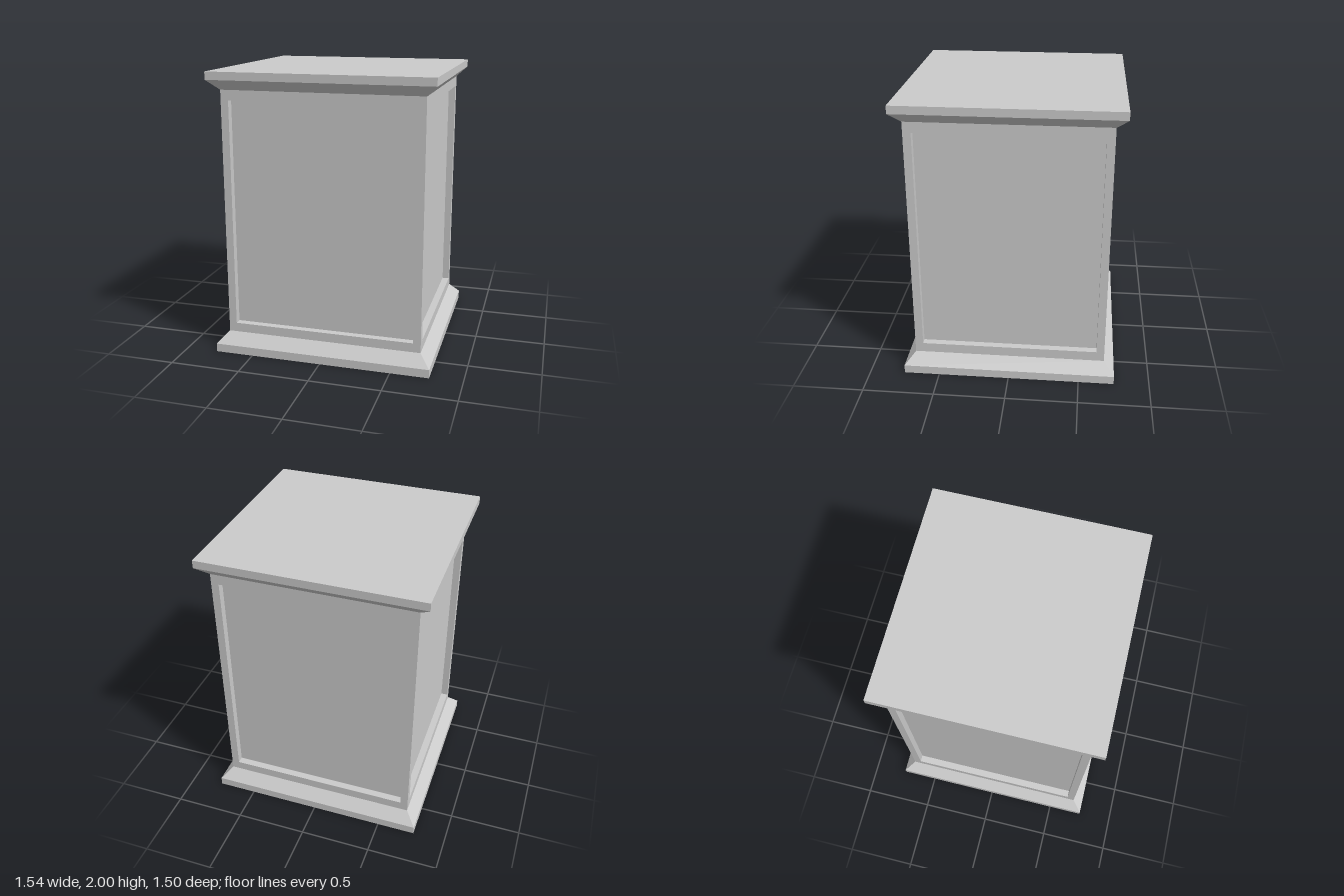
import * as THREE from 'three';

const material = new THREE.MeshStandardMaterial({ color: 0xcccccc, flatShading: true });

// Body half sizes, its bottom and top, and the depth of the recessed panels
const HX = 0.697, HZ = 0.677, Y0 = 0.14, Y1 = 1.875, DEPTH = 0.05;
const FLARE = 0.074; // overhang of plinth and cap

function addMesh(group, name, geometry) {
  const mesh = new THREE.Mesh(geometry, material);
  mesh.name = name;
  group.add(mesh);
  return mesh;
}

// Solid lofted upward through rectangles given as [y, overhang]
function moulding(sections) {
  const ring = ([y, o]) => [[1, 1], [1, -1], [-1, -1], [-1, 1]]
    .map(([sx, sz]) => [sx * (HX + o), y, sz * (HZ + o)]);
  const rings = sections.map(ring);
  const pos = [];
  const quad = (a, b, c, d) => pos.push(...a, ...b, ...c, ...a, ...c, ...d);
  for (let i = 0; i < rings.length - 1; i++) {
    for (let k = 0; k < 4; k++) {
      const n = (k + 1) % 4;
      quad(rings[i][k], rings[i][n], rings[i + 1][n], rings[i + 1][k]);
    }
  }
  quad(...rings[rings.length - 1]);
  quad(...[...rings[0]].reverse());
  const geometry = new THREE.BufferGeometry();
  geometry.setAttribute('position', new THREE.Float32BufferAttribute(pos, 3));
  geometry.computeVertexNormals();
  return geometry;
}

// Rectangle corners, counter-clockwise
function rectangle(hw, y0, y1) {
  return [[-hw, y0], [hw, y0], [hw, y1], [-hw, y1]].map(([x, y]) => new THREE.Vector2(x, y));
}

// Upright frame around a recessed panel, facing +z
function panelFrame(halfWidth, halfOpening, openY0, openY1) {
  const shape = new THREE.Shape(rectangle(halfWidth, Y0, Y1));
  shape.holes.push(new THREE.Path(rectangle(halfOpening, openY0, openY1).reverse()));
  return new THREE.ExtrudeGeometry(shape, { depth: DEPTH, bevelEnabled: false });
}

export function createModel() {
  const model = new THREE.Group();
  model.name = 'pedestal';

  // Plinth and cap, each a slab with a sloped moulding
  addMesh(model, 'plinth', moulding([[0, FLARE], [0.06, FLARE], [Y0, 0]]));
  addMesh(model, 'cap', moulding([[Y1, 0], [1.945, FLARE], [2, FLARE]]));

  // Core, whose faces are the recessed panels
  const core = new THREE.BoxGeometry(2 * (HX - DEPTH), Y1 - Y0, 2 * (HZ - DEPTH));
  addMesh(model, 'panelCore', core).position.y = (Y0 + Y1) / 2;

  // Front and back frames run the full width, side frames fit between them
  const wide = panelFrame(HX, 0.643, 0.205, 1.805);
  const narrow = panelFrame(HZ - DEPTH, 0.622, 0.21, 1.802);
  ['frontFrame', 'leftFrame', 'backFrame', 'rightFrame'].forEach((name, i) => {
    const side = i % 2 === 1;
    const frame = addMesh(model, name, side ? narrow : wide);
    frame.rotation.y = i * Math.PI / 2;
    frame.translateZ((side ? HX : HZ) - DEPTH);
  });

  return model;
}
